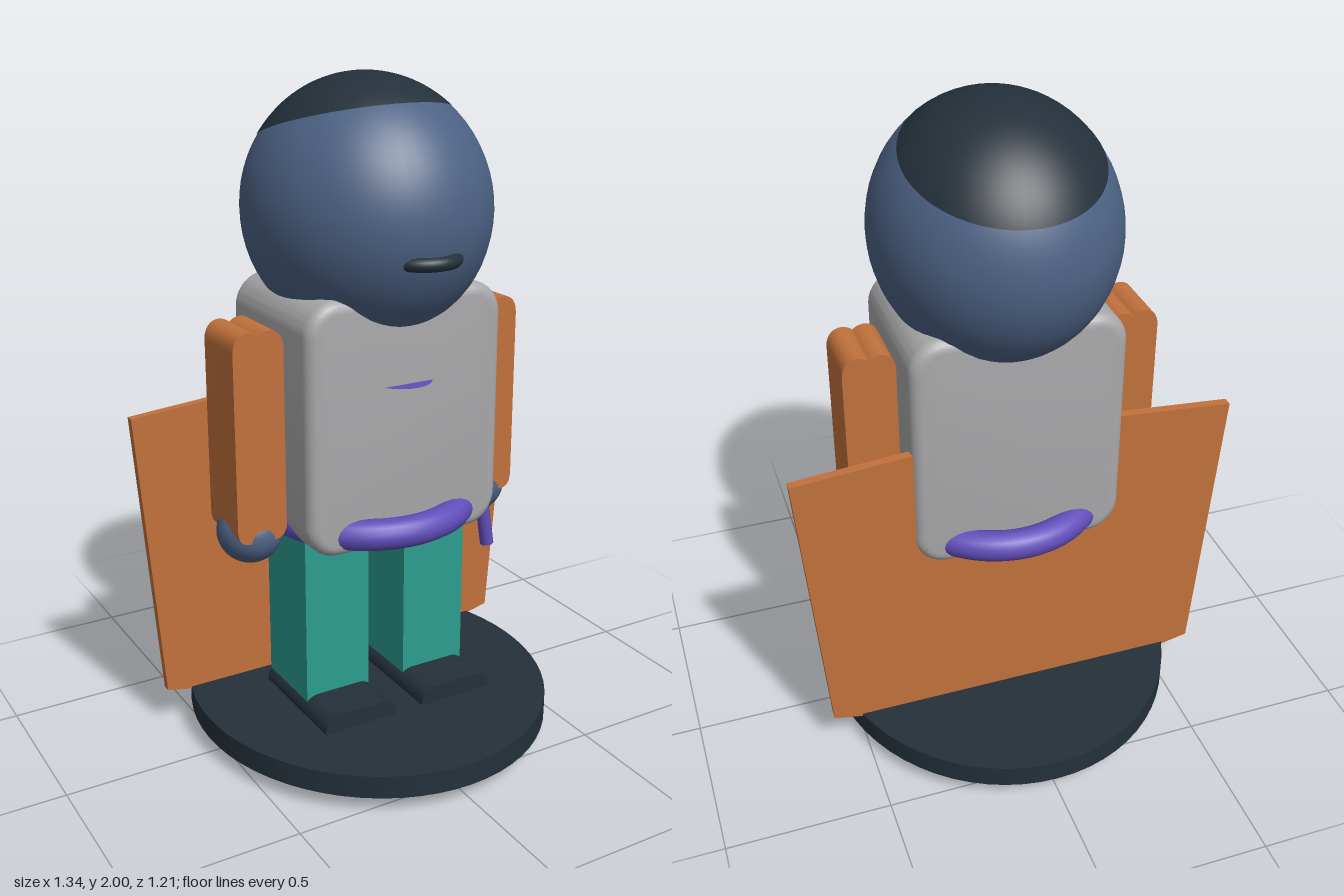
import * as THREE from 'three';
import { toCreasedNormals } from 'three/addons/utils/BufferGeometryUtils.js';

const mat = (name, color, side = THREE.FrontSide) => {
  const m = new THREE.MeshStandardMaterial({ color, side });
  m.name = name;
  return m;
};

// Rectangle outline with separate top and bottom corner radii
function roundedRect(x0, x1, y0, y1, top, bottom) {
  const s = new THREE.Shape();
  s.moveTo(x0 + bottom, y0);
  s.lineTo(x1 - bottom, y0);
  if (bottom) s.absarc(x1 - bottom, y0 + bottom, bottom, -Math.PI / 2, 0, false);
  s.lineTo(x1, y1 - top);
  s.absarc(x1 - top, y1 - top, top, 0, Math.PI / 2, false);
  s.lineTo(x0 + top, y1);
  s.absarc(x0 + top, y1 - top, top, Math.PI / 2, Math.PI, false);
  s.lineTo(x0, y0 + bottom);
  if (bottom) s.absarc(x0 + bottom, y0 + bottom, bottom, Math.PI, Math.PI * 1.5, false);
  return s;
}

// Extrude a front outline from z0 to z1, with an optional soft edge
function slab(shape, z0, z1, bevel = 0) {
  const g = new THREE.ExtrudeGeometry(shape, {
    depth: z1 - z0 - 2 * bevel, curveSegments: 10, bevelEnabled: bevel > 0,
    bevelSize: bevel, bevelThickness: bevel, bevelOffset: -bevel, bevelSegments: 5,
  });
  g.translate(0, 0, z0 + bevel);
  return toCreasedNormals(g, 0.6);
}

export function createModel() {
  const model = new THREE.Group();
  const dark = mat('charcoal', 0x24303a);
  const blue = mat('slate blue', 0x4c6284);
  const gray = mat('gray', 0xa8a8aa);
  const orange = mat('orange brown', 0xc1713c);
  const teal = mat('teal', 0x2c9d8f);
  const purple = mat('purple', 0x614dba, THREE.DoubleSide);

  const add = (name, geometry, material, x = 0, y = 0, z = 0) => {
    const m = new THREE.Mesh(geometry, material);
    m.name = name;
    m.position.set(x, y, z);
    model.add(m);
    return m;
  };

  // Oval stand
  add('base', new THREE.CylinderGeometry(1, 1, 0.07, 64), dark, 0, 0.085, 0).scale.set(0.55, 1, 0.605);

  // Flat cape, cutting through the stand
  const cape = new THREE.Shape([
    [0, 0], [0.6, 0.13], [0.67, 1.033], [0, 1.088], [-0.67, 1.033], [-0.6, 0.13],
  ].map(([x, y]) => new THREE.Vector2(x, y)));
  add('cape', slab(cape, -0.222, -0.194), orange);

  // Torso with broad corners and soft front and back edges
  add('torso', slab(roundedRect(-0.32, 0.32, 0.665, 1.42, 0.1, 0.1), -0.24, 0.243, 0.035), gray);

  // Belt ring and chest disc, both lying flat
  add('belt', new THREE.TorusGeometry(0.29, 0.046, 16, 64).rotateX(Math.PI / 2), purple, 0, 0.725, 0);
  add('chestBadge', new THREE.CircleGeometry(0.09, 32).rotateX(-Math.PI / 2), purple, 0, 1.155, 0.2);

  // Head with a hair cap tilted backwards
  add('head', new THREE.SphereGeometry(1, 48, 32), blue, 0, 1.62, 0).scale.set(0.355, 0.38, 0.39);
  const cap = new THREE.SphereGeometry(1.004, 48, 20, 0, Math.PI * 2, 0, 0.89).rotateX(-0.272);
  add('hair', cap, dark, 0, 1.62, 0).scale.set(0.355, 0.38, 0.39);

  // Mouth ring mostly sunk into the face
  add('mouth', new THREE.TorusGeometry(0.092, 0.02, 12, 40).rotateX(Math.PI / 2), dark, 0, 1.526, 0.304);

  for (const side of [1, -1]) {
    const tag = side > 0 ? 'left' : 'right';

    // Arm made with a shallow notch between two rounded shoulder bumps
    const cx = side * 0.397;
    const arm = new THREE.Shape();
    arm.moveTo(cx - 0.04, 0.7);
    arm.lineTo(cx + 0.04, 0.7);
    arm.quadraticCurveTo(cx + 0.078, 0.7, cx + 0.078, 0.75);
    arm.lineTo(cx + 0.078, 1.27);
    arm.bezierCurveTo(cx + 0.078, 1.325, cx + 0.03, 1.34, cx, 1.312);
    arm.bezierCurveTo(cx - 0.03, 1.34, cx - 0.078, 1.325, cx - 0.078, 1.27);
    arm.lineTo(cx - 0.078, 0.75);
    arm.quadraticCurveTo(cx - 0.078, 0.7, cx - 0.04, 0.7);
    add(tag + 'Arm', slab(arm, -0.092, 0.096), orange);

    add(tag + 'Hand', new THREE.SphereGeometry(1, 32, 24), blue, side * 0.395, 0.7, 0)
      .scale.set(0.096, 0.093, 0.104);

    add(tag + 'Leg', new THREE.BoxGeometry(0.215, 0.56, 0.246), teal, side * 0.17, 0.43, 0.003);

    const sx = side * 0.168;
    add(tag + 'Shoe', slab(roundedRect(sx - 0.122, sx + 0.122, 0.11, 0.173, 0.05, 0), -0.118, 0.266), dark);
  }

  // Short stick held in the left hand
  const stick = add('stick', new THREE.CylinderGeometry(0.022, 0.022, 0.24, 20), purple, 0.427, 0.6, 0.021);
  stick.rotation.z = 0.16;

  return model;
}
